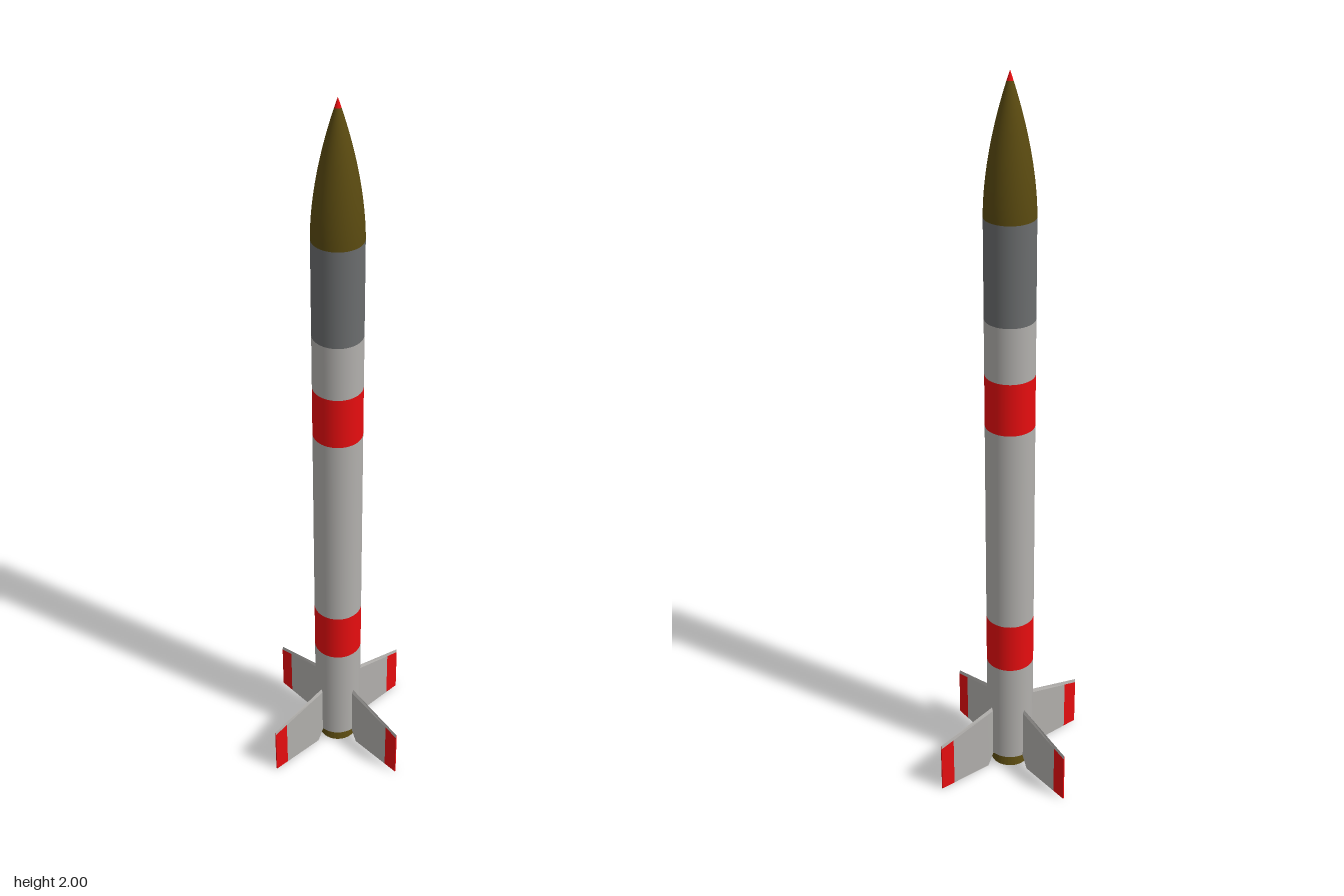
import * as THREE from 'three';

const mat = (name, color, side = THREE.FrontSide) => {
  const m = new THREE.MeshStandardMaterial({ color, side });
  m.name = name;
  return m;
};

const R = 0.065; // body radius
const NOSE_BASE = 1.65, NOSE_LENGTH = 0.35, TIP_START = 0.93;

// Ogive radius, u = 0 at the nose base and 1 at the point
const ogive = (u) => R * (1 - Math.pow(u, 1.8));

function noseSection(u0, u1, steps, material, name) {
  const pts = [];
  for (let i = 0; i <= steps; i++) {
    const u = u0 + (u1 - u0) * i / steps;
    pts.push(new THREE.Vector2(Math.max(ogive(u), 0), NOSE_BASE + NOSE_LENGTH * u));
  }
  const mesh = new THREE.Mesh(new THREE.LatheGeometry(pts, 48), material);
  mesh.name = name;
  return mesh;
}

// Tapered fin along +x: five-sided sections with a bevelled leading edge
function finGeometry() {
  const stations = [
    { x: 0.06, top: 0.202, bottom: 0.045, half: 0.0042 },
    { x: 0.082, top: 0.196, bottom: 0, half: 0.004 },
    { x: 0.202, top: 0.164, bottom: 0, half: 0.0024 },
    { x: 0.243, top: 0.153, bottom: 0, half: 0.0018 },
  ].map(({ x, top, bottom, half }) => [
    [x, top, 0], [x, top - 0.01, half], [x, bottom, half],
    [x, bottom, -half], [x, top - 0.01, -half],
  ]);
  const skin = [], tip = [];
  for (let s = 0; s < stations.length - 1; s++) {
    const a = stations[s], b = stations[s + 1];
    for (let i = 0; i < 5; i++) {
      const j = (i + 1) % 5;
      const painted = s === 2 && i >= 1 && i <= 3;
      (painted ? tip : skin).push(a[i], a[j], b[j], a[i], b[j], b[i]);
    }
  }
  const end = stations[stations.length - 1];
  for (let i = 1; i < 4; i++) tip.push(end[0], end[i], end[i + 1]);

  const geo = new THREE.BufferGeometry();
  geo.setAttribute('position', new THREE.Float32BufferAttribute([...skin, ...tip].flat(), 3));
  geo.addGroup(0, skin.length, 0);
  geo.addGroup(skin.length, tip.length, 1);
  geo.computeVertexNormals();
  return geo;
}

export function createModel() {
  const grey = mat('light grey paint', 0xb2b0ad);
  const darkGrey = mat('dark grey paint', 0x6b6d6e);
  const red = mat('red paint', 0xec0e10);
  const olive = mat('olive paint', 0x5a4a10);
  const nozzleOlive = mat('olive nozzle', 0x5a4a10, THREE.DoubleSide);

  const model = new THREE.Group();
  model.name = 'rocket';

  // Body sections from tail to nose
  const sections = [
    ['tailSection', 0.04, 0.35, grey],
    ['lowerBand', 0.35, 0.497, red],
    ['mainSection', 0.497, 1.09, grey],
    ['upperBand', 1.09, 1.235, red],
    ['upperSection', 1.235, 1.387, grey],
    ['payloadSection', 1.387, NOSE_BASE, darkGrey],
  ];
  for (const [name, y0, y1, material] of sections) {
    const mesh = new THREE.Mesh(new THREE.CylinderGeometry(R, R, y1 - y0, 48, 1, true), material);
    mesh.position.y = (y0 + y1) / 2;
    mesh.name = name;
    model.add(mesh);
  }

  // Base ring closing the tail
  const base = new THREE.Mesh(new THREE.RingGeometry(0.035, R, 48), grey);
  base.rotation.x = Math.PI / 2;
  base.position.y = 0.04;
  base.name = 'tailBase';
  model.add(base);

  // Nose cone and its painted point
  model.add(noseSection(0, TIP_START, 20, olive, 'noseCone'));
  model.add(noseSection(TIP_START, 1, 4, red, 'noseTip'));

  // Flared hollow nozzle: outer wall, lip, inner wall, throat
  const nozzleProfile = [[0.043, 0.042], [0.054, 0], [0.048, 0], [0.036, 0.05], [0, 0.05]]
    .map(([r, y]) => new THREE.Vector2(r, y));
  const nozzle = new THREE.Mesh(new THREE.LatheGeometry(nozzleProfile, 32).toNonIndexed(), nozzleOlive);
  nozzle.geometry.computeVertexNormals();
  nozzle.name = 'nozzle';
  model.add(nozzle);

  // Four fins with painted tips
  const fin = finGeometry();
  for (let i = 0; i < 4; i++) {
    const mesh = new THREE.Mesh(fin, [grey, red]);
    mesh.rotation.y = i * Math.PI / 2;
    mesh.name = `fin${i + 1}`;
    model.add(mesh);
  }
  return model;
}
